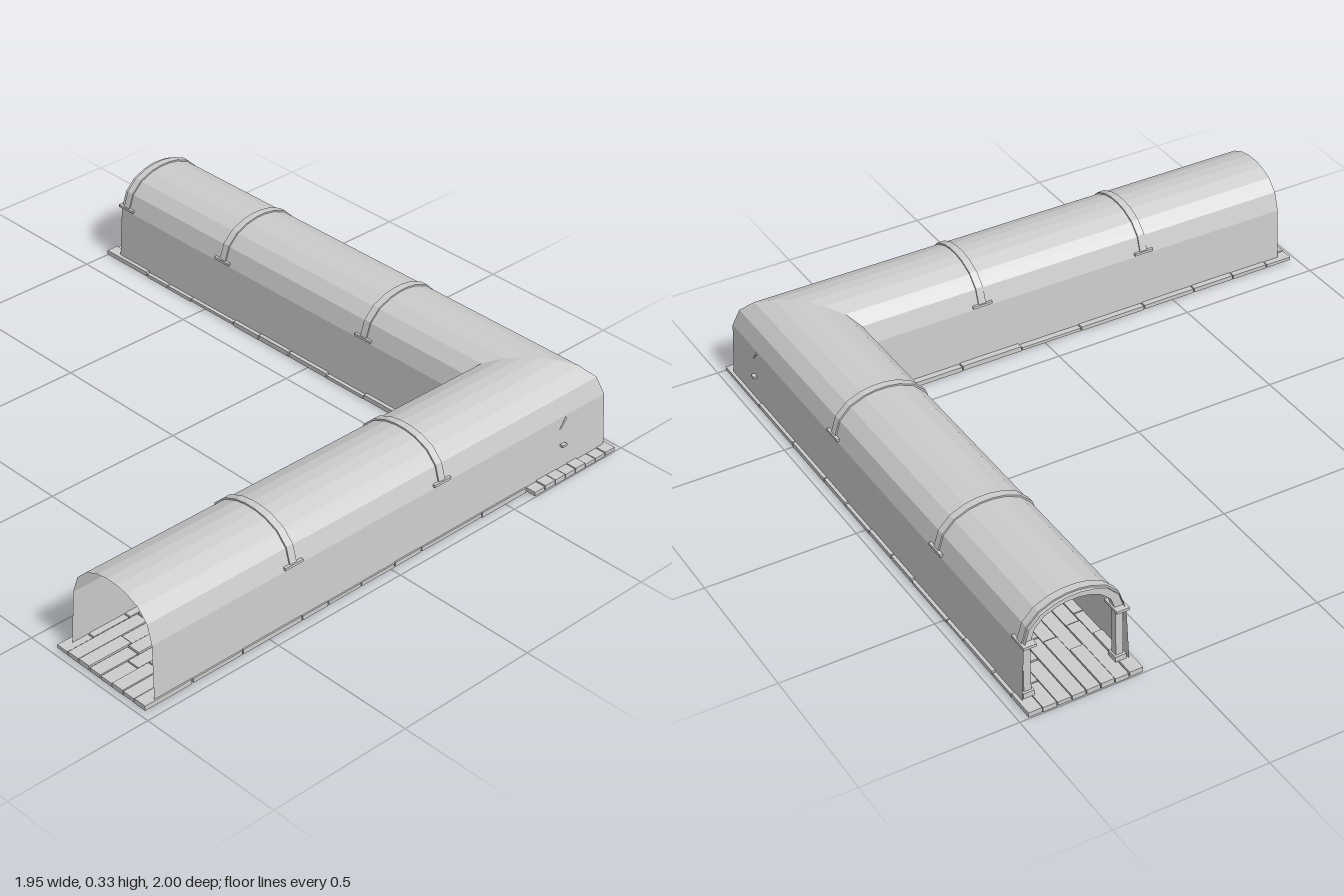
import * as THREE from 'three';

const MID = 0.785; // centre line of both corridors
const grey = new THREE.MeshStandardMaterial({ color: 0xcccccc, flatShading: true });
const thin = new THREE.MeshStandardMaterial({ color: 0xcccccc, flatShading: true, side: THREE.DoubleSide });

// half cross-section of the vault, [sideways, height], from floor to crown
const HALF = [[0.175, 0.01], [0.166, 0.2], [0.146, 0.262], [0.108, 0.3], [0.06, 0.32], [0.02, 0.327]];
const mirrored = half => [...half, ...half.slice().reverse().map(([u, y]) => [-u, y])];

let seed = 7;
const random = () => (seed = (seed * 16807) % 2147483647) / 2147483647;

function add(parent, name, geometry, x = 0, y = 0, z = 0, material = grey) {
  const mesh = new THREE.Mesh(geometry, material);
  mesh.name = name;
  mesh.position.set(x, y, z);
  parent.add(mesh);
  return mesh;
}
const box = (parent, name, w, h, d, x, y, z) => add(parent, name, new THREE.BoxGeometry(w, h, d), x, y, z);

// vaulted shell, cut at 45 degrees where the two corridors meet
function vault(start, alongX) {
  const positions = [], index = [];
  const profile = mirrored(HALF);
  profile.forEach(([u, y], i) => {
    for (const s of [start, MID + u]) {
      positions.push(...(alongX ? [s, y, MID + u] : [MID + u, y, s]));
    }
    if (i === profile.length - 1) return;
    const a = i * 2;
    if (alongX) index.push(a, a + 1, a + 2, a + 1, a + 3, a + 2);
    else index.push(a, a + 2, a + 1, a + 1, a + 2, a + 3);
  });
  const geometry = new THREE.BufferGeometry();
  geometry.setAttribute('position', new THREE.Float32BufferAttribute(positions, 3));
  geometry.setIndex(index);
  geometry.computeVertexNormals();
  return geometry;
}

// arch band on two posts with capitals and bases
function rib() {
  const group = new THREE.Group();
  group.name = 'archRib';
  const arch = HALF.slice(1);
  const outer = mirrored(arch.map(([u, y]) => [u * 1.02, y + 0.005]));
  const inner = mirrored(arch.map(([u, y]) => [u * 0.84, 0.2 + (y - 0.2) * 0.8])).reverse();
  const shape = new THREE.Shape([...outer, ...inner].map(([u, y]) => new THREE.Vector2(u, y)));
  const band = new THREE.ExtrudeGeometry(shape, { depth: 0.026, bevelEnabled: false });
  add(group, 'archBand', band, 0, 0, -0.013);
  for (const side of [-1, 1]) {
    box(group, 'post', 0.024, 0.19, 0.024, side * 0.15, 0.11, 0);
    box(group, 'capital', 0.042, 0.009, 0.07, side * 0.15, 0.21, 0);
    box(group, 'postBase', 0.036, 0.018, 0.04, side * 0.15, 0.028, 0);
  }
  return group;
}

// floor of uneven planks laid lengthwise in rows
function floor(start, end, low, high, alongX) {
  const group = new THREE.Group();
  group.name = 'plankFloor';
  const rows = 8, width = (high - low) / rows;
  for (let r = 0; r < rows; r++) {
    const across = low + (r + 0.5) * width;
    for (let s = start; s < end - 0.001;) {
      let length = 0.1 + random() * 0.18;
      if (end - s - length < 0.06) length = end - s;
      const bottom = random() * 0.004, top = 0.013 + random() * 0.007;
      const l = length - 0.004, w = width - 0.003, h = top - bottom;
      const c = s + length / 2, y = (top + bottom) / 2;
      if (alongX) box(group, 'plank', l, h, w, c, y, across);
      else box(group, 'plank', w, h, l, across, y, c);
      s += length;
    }
  }
  return group;
}

// slanted torch on a wall bracket, its fixings just through the wall
function torch() {
  const group = new THREE.Group();
  group.name = 'wallTorch';
  box(group, 'bracket', 0.02, 0.008, 0.03, 0, 0.1, 0.168);
  const stick = add(group, 'torchStick', new THREE.CylinderGeometry(0.005, 0.004, 0.045, 6), 0, 0.175, 0.166);
  stick.rotation.z = -0.65;
  return group;
}

export function createModel() {
  const model = new THREE.Group();
  model.name = 'cornerCorridor';

  add(model, 'frontVault', vault(-0.94, true), 0, 0, 0, thin);
  add(model, 'sideVault', vault(-0.945, false), 0, 0, 0, thin);

  model.add(floor(-0.98, 0.595, 0.587, 0.966, true));
  model.add(floor(-1, 1, 0.595, 0.972, false));

  // ribs of the side corridor, then of the front corridor
  for (const z of [-0.92, -0.435, 0.225]) {
    const arch = rib();
    arch.position.set(MID, 0, z);
    model.add(arch);
  }
  for (const x of [-0.4, 0.215]) {
    const arch = rib();
    arch.rotation.y = Math.PI / 2;
    arch.position.set(x, 0, MID);
    model.add(arch);
  }

  // one torch on each outer wall of the corner
  for (const turn of [0, Math.PI / 2]) {
    const lamp = torch();
    lamp.rotation.y = turn;
    lamp.position.set(MID - (turn ? 0 : 0.025), 0, MID);
    model.add(lamp);
  }
  return model;
}
